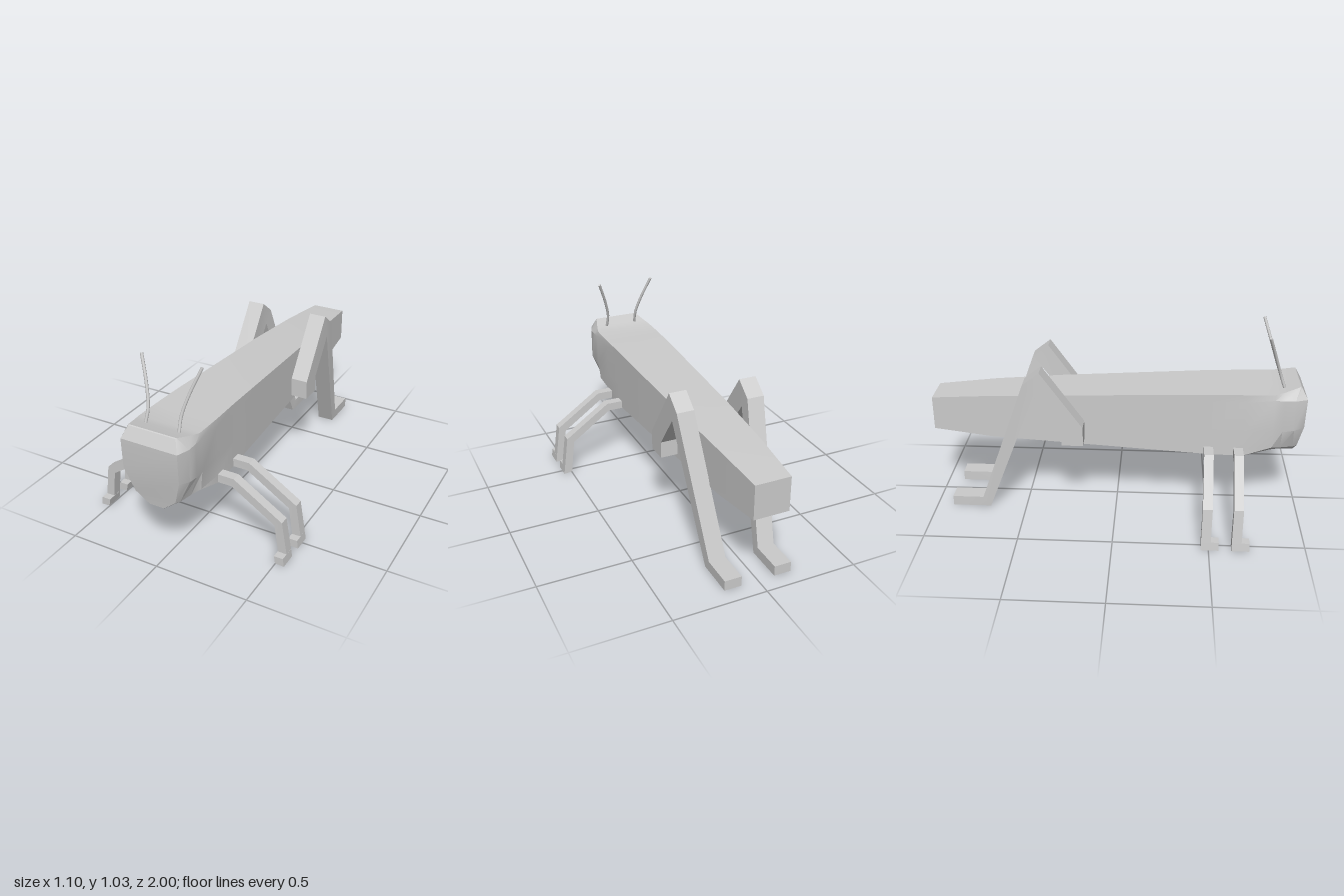
import * as THREE from 'three';
import { toCreasedNormals } from 'three/addons/utils/BufferGeometryUtils.js';

const material = new THREE.MeshStandardMaterial({ color: 0xcccccc });

// Skin a list of closed rings of [x, y, z] points and close both ends.
function loft(rings) {
  const n = rings[0].length, tris = [];
  const quad = (a, b, c, d) => tris.push([a, b, c], [a, c, d]);
  for (let k = 0; k < rings.length - 1; k++) {
    for (let i = 0; i < n; i++) {
      const j = (i + 1) % n;
      quad(rings[k][i], rings[k][j], rings[k + 1][j], rings[k + 1][i]);
    }
  }
  const first = rings[0], last = rings[rings.length - 1];
  for (let i = 0; i < n / 2 - 1; i++) {
    quad(first[i + 1], first[i], first[n - 1 - i], first[n - 2 - i]);
    quad(last[i], last[i + 1], last[n - 2 - i], last[n - 1 - i]);
  }
  // Signed volume tells whether the faces point inwards.
  const v = tris.map((t) => t.map((p) => new THREE.Vector3(...p)));
  const volume = v.reduce((s, [a, b, c]) => s + a.dot(b.clone().cross(c)), 0);
  if (volume < 0) tris.forEach((t) => t.reverse());
  const geometry = new THREE.BufferGeometry();
  geometry.setAttribute('position', new THREE.Float32BufferAttribute(tris.flat(2), 3));
  return toCreasedNormals(geometry, 0.4);
}

function part(name, geometry) {
  const mesh = new THREE.Mesh(geometry, material);
  mesh.name = name;
  return mesh;
}

// Half a cross-section, top to bottom, mirrored into a full ring.
const mirrorRing = (half) => [...half, ...half.map(([x, y, z]) => [-x, y, z]).reverse()];

function createBody() {
  // Tapering box-shaped trunk: z, half width, top, bottom
  const trunk = [
    [-1, 0.095, 0.625, 0.44], [-0.68, 0.118, 0.653, 0.41], [-0.3, 0.138, 0.675, 0.397],
    [0.5, 0.163, 0.712, 0.36], [0.68, 0.168, 0.716, 0.358],
  ].map(([z, w, top, bottom]) => mirrorRing(
    [0, 0.12, 0.6, 0.88, 1].map((t) => [w, THREE.MathUtils.lerp(top, bottom, t), z])));
  // Head, bevelled towards a rounded face
  const head = [
    [[0.168, 0.72, 0.83], [0.175, 0.69, 0.83], [0.175, 0.51, 0.83], [0.165, 0.41, 0.83], [0.12, 0.375, 0.83]],
    [[0.155, 0.73, 0.88], [0.176, 0.69, 0.88], [0.176, 0.51, 0.88], [0.14, 0.4, 0.88], [0.05, 0.343, 0.875]],
    [[0.13, 0.753, 0.962], [0.176, 0.69, 0.935], [0.176, 0.52, 0.94], [0.125, 0.4, 0.95], [0.045, 0.342, 0.955]],
    [[0.128, 0.75, 0.967], [0.153, 0.69, 1], [0.153, 0.53, 0.995], [0.112, 0.4, 0.972], [0.04, 0.342, 0.965]],
  ].map(mirrorRing);
  return part('body', loft([...trunk, ...head]));
}

function createHindLeg(s) {
  // Outer z, y / inner z, y / sideways shift of each joint
  const joints = [
    [-0.17, 0.43, -0.285, 0.43, 0], [-0.17, 0.535, -0.285, 0.52, 0],
    [-0.39, 0.845, -0.425, 0.71, 0], [-0.48, 0.775, -0.425, 0.71, 0],
    [-0.74, 0.06, -0.7, 0.005, 0.055], [-0.91, 0.06, -0.91, 0.005, 0.055],
  ];
  return loft(joints.map(([z1, y1, z2, y2, shift]) => {
    const inner = s * (0.147 - shift), outer = s * (0.24 - shift);
    return [[inner, y1, z1], [outer, y1, z1], [outer, y2, z2], [inner, y2, z2]];
  }));
}

function createFrontLeg(s, z) {
  // Upper x, y / lower x, y / z shift of each joint
  const joints = [
    [0.1, 0.405, 0.1, 0.36, 0], [0.255, 0.405, 0.245, 0.36, 0],
    [0.515, 0.23, 0.475, 0.203, -0.008], [0.548, 0.005, 0.5, 0.01, -0.012],
  ];
  return loft(joints.map(([x1, y1, x2, y2, dz]) => {
    const back = z + dz - 0.025, front = z + dz + 0.025;
    return [[s * x1, y1, back], [s * x1, y1, front], [s * x2, y2, front], [s * x2, y2, back]];
  }));
}

function createFrontFoot(s, z) {
  // Slanted block reaching forward from the shin
  const ring = (depth) => [[0.493, 0.05], [0.542, 0.05], [0.548, 0.005], [0.5, 0.008]]
    .map(([x, y]) => [s * x, y, depth]);
  return loft([ring(z - 0.03), ring(z + 0.055)]);
}

function createAntenna(s) {
  const curve = new THREE.CatmullRomCurve3([
    [0.092, 0.725, 0.885], [0.09, 0.8, 0.858], [0.118, 0.91, 0.822], [0.163, 1.03, 0.782],
  ].map(([x, y, z]) => new THREE.Vector3(s * x, y, z)));
  const group = new THREE.Group();
  group.add(part('antennaStem', new THREE.TubeGeometry(curve, 12, 0.008, 8)));
  const tip = part('antennaTip', new THREE.CircleGeometry(0.008, 8));
  tip.position.copy(curve.getPoint(1));
  tip.lookAt(curve.getPoint(1).add(curve.getTangent(1)));
  group.add(tip);
  return group;
}

export function createModel() {
  const model = new THREE.Group();
  model.name = 'grasshopper';
  model.add(createBody());
  for (const [side, s] of [['left', 1], ['right', -1]]) {
    model.add(part(`${side}HindLeg`, createHindLeg(s)));
    for (const [row, z] of [['Front', 0.655], ['Middle', 0.497]]) {
      const leg = new THREE.Group();
      leg.name = `${side}${row}Leg`;
      leg.add(part('leg', createFrontLeg(s, z)), part('foot', createFrontFoot(s, z)));
      model.add(leg);
    }
    const antenna = createAntenna(s);
    antenna.name = `${side}Antenna`;
    model.add(antenna);
  }
  return model;
}
